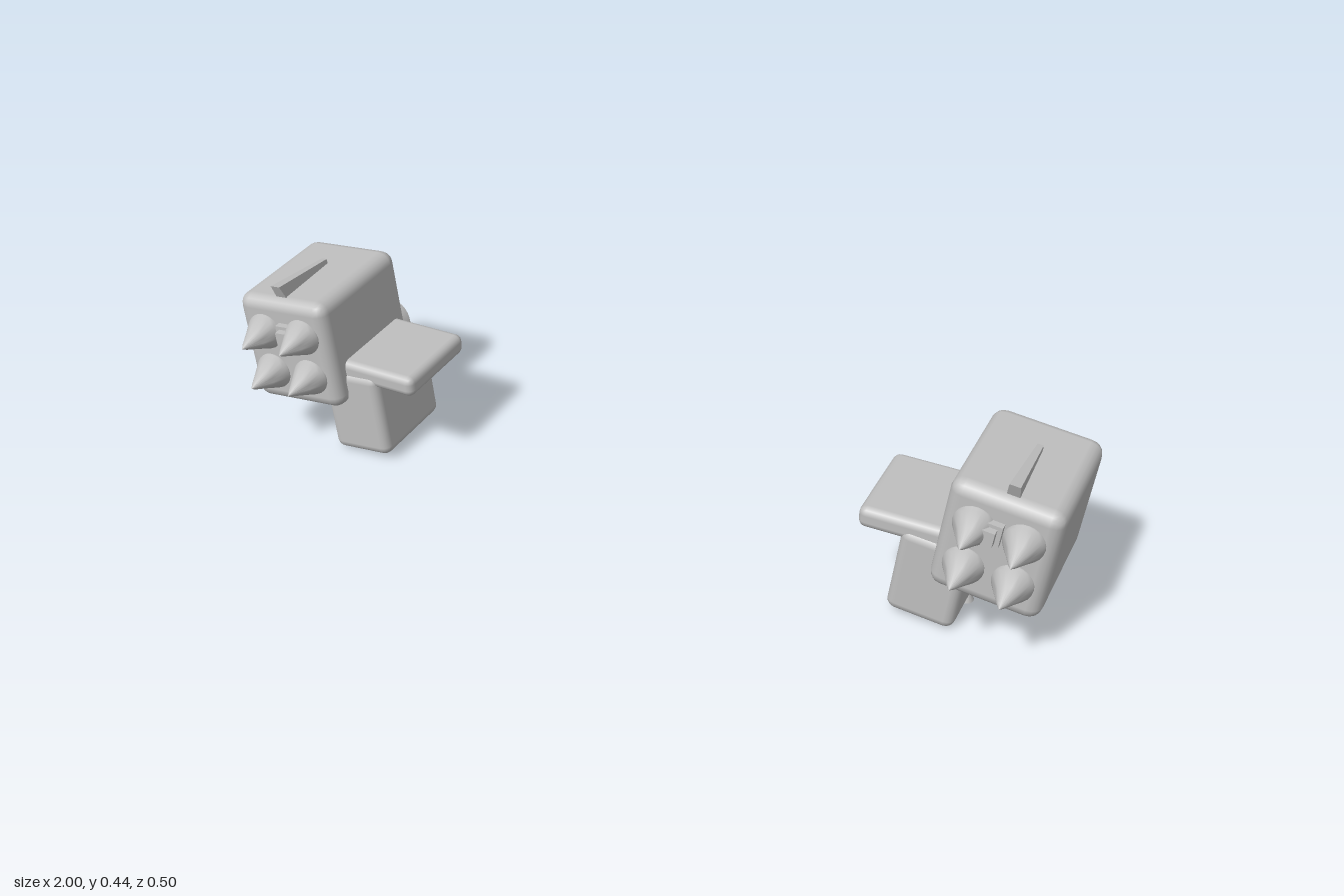
import * as THREE from 'three';
import { toCreasedNormals } from 'three/addons/utils/BufferGeometryUtils.js';
import { RoundedBoxGeometry } from 'three/addons/geometries/RoundedBoxGeometry.js';

const grey = new THREE.MeshStandardMaterial({ color: 0xbfbfbf });
grey.name = 'plain grey';

function add(parent, name, geometry, x, y, z) {
  const mesh = new THREE.Mesh(geometry, grey);
  mesh.name = name;
  mesh.position.set(x, y, z);
  parent.add(mesh);
  return mesh;
}

const rounded = (w, h, d, r) => new RoundedBoxGeometry(w, h, d, 2, r);

// Turned part from [radius, height] points listed bottom to top
function turned(points, sides = 24) {
  const profile = points.map(([r, y]) => new THREE.Vector2(r, y));
  return toCreasedNormals(new THREE.LatheGeometry(profile, sides), 0.6);
}

// Top fin: side outline, thinner towards the back and the top
function finGeometry() {
  const outline = new THREE.Shape([[0.148, 0.173], [-0.047, 0.151], [-0.047, 0.125], [0.128, 0.125]]
    .map(([z, y]) => new THREE.Vector2(z, y)));
  const geometry = new THREE.ExtrudeGeometry(outline, { depth: 0.032, bevelEnabled: false });
  geometry.translate(0, 0, -0.016).rotateY(-Math.PI / 2);
  const p = geometry.attributes.position;
  for (let i = 0; i < p.count; i++) {
    const alongZ = 0.55 + 2.3 * (p.getZ(i) + 0.047);
    const alongY = p.getY(i) > 0.14 ? 0.75 : 1;
    p.setX(i, p.getX(i) * alongZ * alongY);
  }
  geometry.computeVertexNormals();
  return geometry;
}

// Launcher pod, leaning outwards; s is the side (+1 left, -1 right)
function makePod(s) {
  const pod = new THREE.Group();
  pod.name = 'launcherPod';
  pod.position.set(s * 0.867, 0.272, 0);
  pod.rotation.z = -s * 0.105;

  add(pod, 'podBody', rounded(0.245, 0.28, 0.32, 0.03), 0, 0, -0.002);
  add(pod, 'topFin', finGeometry(), s * 0.005, 0, 0);

  // Four warheads on the front
  const warhead = turned([[0.045, 0], [0.045, 0.011], [0.042, 0.018], [0.026, 0.05], [0.009, 0.086], [0, 0.101]]);
  for (const x of [-0.0535, 0.0535]) {
    for (const y of [-0.054, 0.054]) {
      add(pod, 'warhead', warhead, x, y, 0.151).rotation.x = Math.PI / 2;
    }
  }

  // Stepped sight between the upper warheads
  add(pod, 'sightBase', new THREE.BoxGeometry(0.062, 0.052, 0.03), -s * 0.023, 0.056, 0.159);
  add(pod, 'sightFront', new THREE.BoxGeometry(0.042, 0.036, 0.03), -s * 0.023, 0.056, 0.176);

  // Exhaust pointing back and down
  const exhaust = turned([[0, -0.13], [0.043, -0.13], [0.046, -0.08], [0.054, -0.045], [0.063, -0.012], [0.0645, 0], [0, 0]], 32);
  add(pod, 'exhaust', exhaust, -s * 0.012, -0.121, -0.228).rotation.x = -1.91;
  return pod;
}

// Bracket that carries the pod
function makeMount(s) {
  const mount = new THREE.Group();
  mount.name = 'mount';
  add(mount, 'mountPlate', rounded(0.25, 0.052, 0.24, 0.018), s * 0.681, 0.23, -0.008);
  add(mount, 'mountBlock', rounded(0.155, 0.22, 0.238, 0.022), s * 0.722, 0.118, -0.001).rotation.z = -s * 0.1;
  add(mount, 'mountCollar', rounded(0.06, 0.1, 0.222, 0.012), s * 0.772, 0.242, -0.004).rotation.z = -s * 0.105;

  // Tapered strut and its foot on the outer face
  const strut = turned([[0, 0], [0.01, 0.005], [0.016, 0.028], [0.02, 0.075], [0.025, 0.085], [0.025, 0.117], [0, 0.117]], 16);
  add(mount, 'strut', strut, s * 0.79, 0.037, -0.009).rotation.z = -s * 0.276;
  add(mount, 'strutFoot', new THREE.CylinderGeometry(0.004, 0.02, 0.033, 16), s * 0.781, 0.0185, -0.009).rotation.z = -s * 0.1;
  return mount;
}

export function createModel() {
  const model = new THREE.Group();
  model.name = 'shoulderLaunchers';
  for (const s of [1, -1]) {
    const launcher = new THREE.Group();
    launcher.name = s > 0 ? 'leftLauncher' : 'rightLauncher';
    launcher.add(makePod(s), makeMount(s));
    model.add(launcher);
  }
  return model;
}
